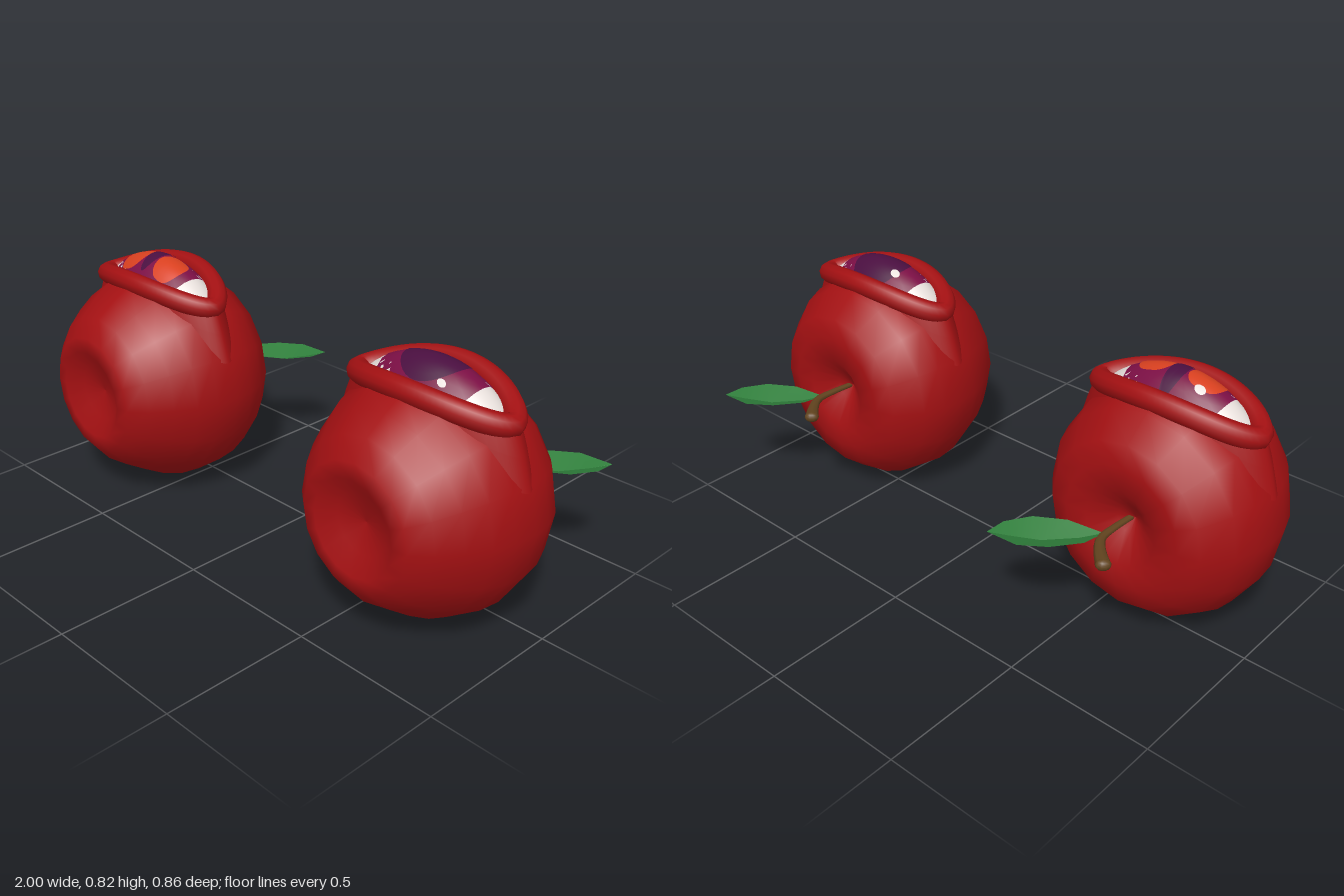
import * as THREE from 'three';

const mat = (name, color, side = THREE.FrontSide) => {
  const m = new THREE.MeshStandardMaterial({ color, side });
  m.name = name;
  return m;
};
const red = mat('apple red', 0xa31012);
const redSkirt = red;
const white = mat('eye white', 0xe8e0dc);
const magenta = mat('iris magenta', 0x7c0f45);
const purple = mat('pupil purple', 0x4a0f40);
const orange = mat('iris orange', 0xd8401f);
const brown = mat('stem brown', 0x62441f);
const green = mat('leaf green', 0x2e7d3a, THREE.DoubleSide);

const V = (x, y, z) => new THREE.Vector3(x, y, z);
const AXIS_Y = 0.39;
const EYE = { y: 0.48, z: 0.1, rx: 0.34, ry: 0.34, rz: 0.165 };

function add(group, name, geometry, material) {
  const mesh = new THREE.Mesh(geometry, material);
  mesh.name = name;
  group.add(mesh);
  return mesh;
}

// Joins equal-length rings of points into a smooth surface
function loft(rings, closed = true) {
  const n = rings[0].length, pos = [], idx = [];
  rings.forEach(r => r.forEach(p => pos.push(p.x, p.y, p.z)));
  for (let i = 0; i < rings.length - 1; i++)
    for (let j = 0; j < (closed ? n : n - 1); j++) {
      const k = (j + 1) % n, a = i * n + j, b = i * n + k, c = a + n, d = b + n;
      idx.push(a, b, c, b, d, c);
    }
  const g = new THREE.BufferGeometry();
  g.setAttribute('position', new THREE.Float32BufferAttribute(pos, 3));
  g.setIndex(idx);
  g.computeVertexNormals();
  return g;
}

// A thin patch lying on the eyeball; outline(t) gives [x, z] from the eye centre
function eyePatch(outline, cx, cz, lift) {
  const rings = [];
  for (let i = 0; i <= 6; i++) {
    const ring = [];
    for (let j = 0; j < 36; j++) {
      const [ox, oz] = outline(j / 36 * Math.PI * 2);
      const f = Math.max(i / 6, 0.001), x = cx + ox * f, z = cz + oz * f;
      const h = Math.sqrt(Math.max(0, 1 - (x / EYE.rx) ** 2 - (z / EYE.rz) ** 2));
      ring.push(V(x, EYE.y + EYE.ry * h + lift, EYE.z + z));
    }
    rings.push(ring);
  }
  return loft(rings);
}
const oval = (a, b) => t => [a * Math.cos(t), b * Math.sin(t)];

// Almond line of the eyelid
function lidPoint(t) {
  const s = Math.sin(t);
  return V(0.28 * Math.cos(t), 0.70 + (s < 0 ? 0.066 : 0.052) * s * s,
    0.1 + 0.125 * s * Math.abs(s) ** 0.25);
}

function addBody(g) {
  // Turned profile [radius, z] from stem dimple to base dimple
  const profile = [[0, -0.08], [0.05, -0.105], [0.13, -0.163], [0.21, -0.162], [0.28, -0.145],
    [0.35, -0.06], [0.378, 0.01], [0.388, 0.08], [0.38, 0.16], [0.355, 0.23], [0.315, 0.3],
    [0.265, 0.37], [0.205, 0.42], [0.155, 0.426], [0.1, 0.385], [0, 0.365]];
  const body = new THREE.LatheGeometry(profile.map(p => new THREE.Vector2(...p)), 16);
  body.rotateX(Math.PI / 2).scale(0.968, 1, 1).translate(0, AXIS_Y, 0);
  add(g, 'apple body', body, red);
}

function addEye(g, slit) {
  const ball = new THREE.SphereGeometry(1, 48, 32);
  ball.scale(EYE.rx, EYE.ry, EYE.rz).translate(0, EYE.y, EYE.z);
  add(g, 'eyeball', ball, white);

  const iris = t => [0.174 * Math.cos(t), THREE.MathUtils.clamp(0.174 * Math.sin(t), -0.125, 0.125)];
  add(g, 'iris', eyePatch(iris, 0, 0, 0.002), magenta);
  if (slit) {
    // Two glowing halves beside a narrow pupil
    for (const s of [-1, 1])
      add(g, 'iris glow', eyePatch(t => {
        const c = Math.cos(t), n = Math.sin(t);
        return [0.056 * Math.sign(c) * Math.abs(c) ** 0.7, n * (n > 0 ? 0.068 : 0.05)];
      }, s * 0.086, 0.012, 0.004), orange);
    add(g, 'slit pupil', eyePatch(oval(0.028, 0.09), 0, -0.01, 0.006), purple);
  } else {
    add(g, 'round pupil', eyePatch(oval(0.105, 0.098), 0, -0.01, 0.004), purple);
    add(g, 'small glint', eyePatch(oval(0.015, 0.008), 0.085, 0.07, 0.008), white);
  }
  add(g, 'glint', eyePatch(oval(0.018, 0.013), -0.095, -0.04, 0.008), white);

  // Eyelid roll and the skin that joins it to the body
  const pts = [], skirt = [[], [], []];
  for (let i = 0; i < 48; i++) {
    const t = i / 48 * Math.PI * 2, p = lidPoint(t);
    pts.push(p);
    const c2 = Math.cos(t) ** 2;
    skirt[0].push(V(p.x * 1.08, p.y - 0.01, p.z));
    skirt[1].push(V(p.x * 1.17, p.y - 0.05 - 0.03 * c2, 0.1 + (p.z - 0.1) * 1.1));
    skirt[2].push(V(p.x * 1.27, p.y - 0.11 - 0.07 * c2, 0.1 + (p.z - 0.1) * 1.2));
  }
  const path = new THREE.CatmullRomCurve3(pts, true);
  add(g, 'eyelid', new THREE.TubeGeometry(path, 72, 0.035, 10, true), red);
  add(g, 'eyelid skirt', loft(skirt), redSkirt);
}

function addStem(g) {
  // Curved stalk, thicker toward its free end
  const path = new THREE.CatmullRomCurve3([V(0.015, 0.385, -0.08), V(0.015, 0.39, -0.17),
    V(0.008, 0.393, -0.24), V(-0.03, 0.396, -0.295), V(-0.08, 0.4, -0.345)]);
  const rings = [];
  for (let i = 0; i <= 12; i++) {
    const u = i / 12, p = path.getPointAt(u), d = path.getTangentAt(u);
    const side = V(-d.z, 0, d.x).normalize(), up = side.clone().cross(d);
    const r = 0.011 + 0.013 * u * u;
    rings.push([...Array(8).keys()].map(j => {
      const a = j / 8 * Math.PI * 2;
      return p.clone().addScaledVector(side, r * Math.cos(a)).addScaledVector(up, -r * 0.75 * Math.sin(a));
    }));
  }
  const tube = loft(rings);
  const stem = add(g, 'stem', tube, brown);
  // Make the faces point outward
  const n = tube.attributes.normal, p0 = rings[6][0], c0 = path.getPointAt(0.5);
  if (V(n.getX(48), n.getY(48), n.getZ(48)).dot(p0.clone().sub(c0)) < 0) {
    stem.geometry = loft(rings.map(r => [...r].reverse()));
  }
  const cap = new THREE.SphereGeometry(0.024, 10, 8);
  cap.scale(1, 0.75, 0.7).rotateY(0.8).translate(-0.08, 0.4, -0.345);
  add(g, 'stem tip', cap, brown);
}

function addLeaf(g) {
  // Cross-sections: one edge, low midrib, other edge
  const sections = [
    [V(0.024, 0.386, -0.21), V(0.026, 0.385, -0.208), V(0.03, 0.386, -0.206)],
    [V(0.035, 0.388, -0.285), V(0.08, 0.366, -0.25), V(0.145, 0.388, -0.225)],
    [V(0.098, 0.389, -0.37), V(0.165, 0.357, -0.325), V(0.235, 0.389, -0.282)],
    [V(0.175, 0.389, -0.425), V(0.235, 0.372, -0.385), V(0.282, 0.389, -0.36)],
    [V(0.284, 0.388, -0.432), V(0.285, 0.387, -0.431), V(0.285, 0.388, -0.43)],
  ];
  // Separate halves keep the fold along the midrib crisp
  for (const k of [0, 1])
    add(g, 'leaf half', loft(sections.map(s => [s[k], s[k + 1]]), false), green);
}

function makeApple(slit) {
  const g = new THREE.Group();
  addBody(g);
  addEye(g, slit);
  addStem(g);
  addLeaf(g);
  return g;
}

export function createModel() {
  const model = new THREE.Group();
  model.name = 'pair of eyed apples';
  for (const s of [-1, 1]) {
    const apple = makeApple(s < 0);
    apple.name = s < 0 ? 'slit eyed apple' : 'round eyed apple';
    apple.position.x = s * 0.625;
    model.add(apple);
  }
  return model;
}
